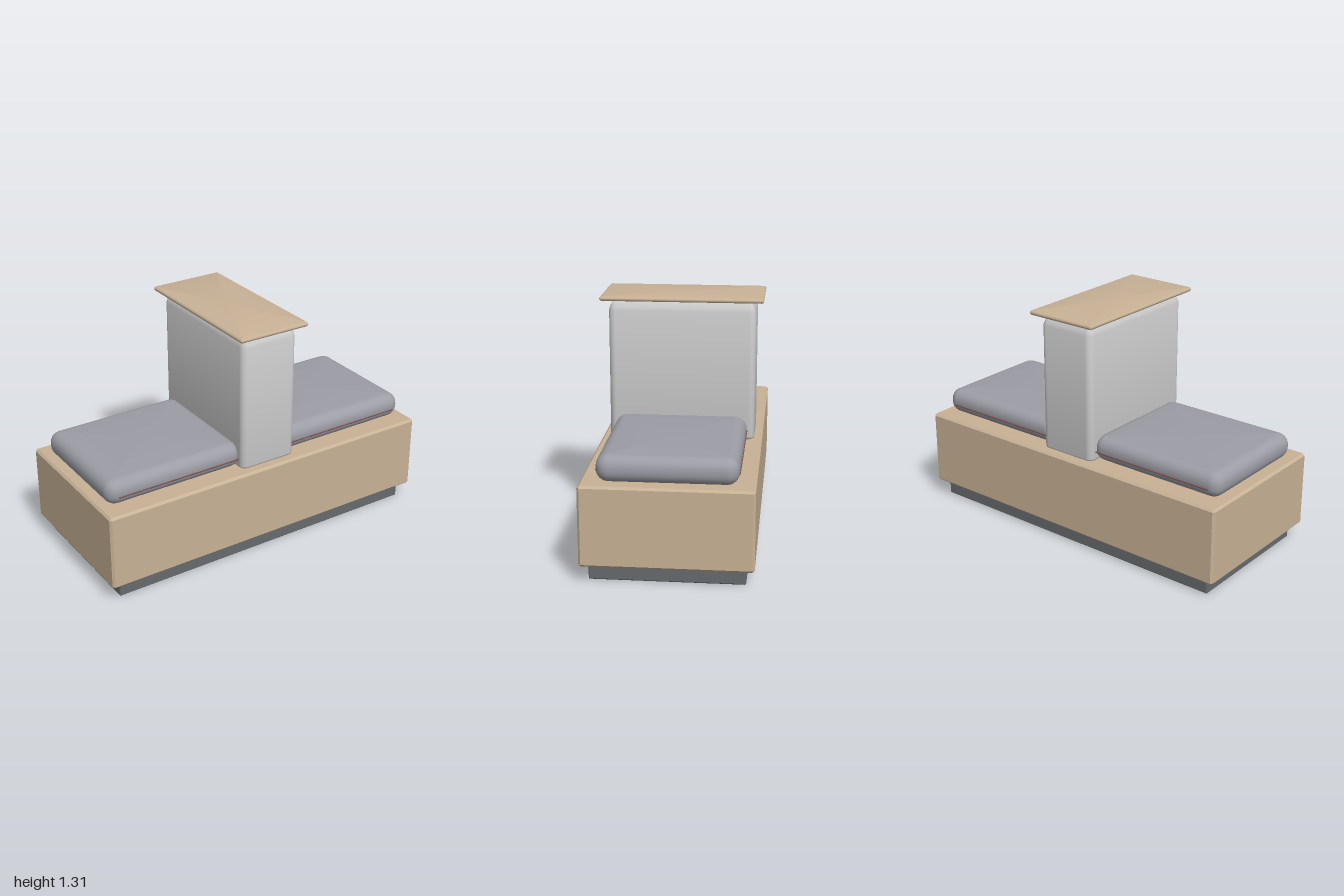
import * as THREE from 'three';

const TAN = 0xc8b296, DARK = 0x676b6d, CUSHION = 0x9c9da5, PIPING = 0x80504a, GREY = 0xcccccc;

// Stacks rounded-rectangle rings. profile: [inset, y] from bottom to top.
function loft({ halfX, halfZ, radius, segments, profile, flat = false }) {
  const pos = [], nor = [], idx = [];
  const ring = 4 * (segments + 1);
  const sideNormal = (k) => {
    if (k < 0) return [0, -1];
    if (k >= profile.length - 1) return [0, 1];
    const [i0, y0] = profile[k], [i1, y1] = profile[k + 1];
    const l = Math.hypot(y1 - y0, i1 - i0);
    return [(y1 - y0) / l, (i1 - i0) / l];
  };
  profile.forEach(([inset, y], k) => {
    const a = sideNormal(k - 1), b = sideNormal(k);
    const n = new THREE.Vector2(a[0] + b[0], a[1] + b[1]).normalize();
    const r = Math.max(radius - inset, 0.001);
    for (let c = 0; c < 4; c++) {
      const sx = c === 0 || c === 3 ? 1 : -1, sz = c < 2 ? 1 : -1;
      for (let s = 0; s <= segments; s++) {
        const t = (c + s / segments) * Math.PI / 2, ct = Math.cos(t), st = Math.sin(t);
        pos.push(sx * (halfX - inset - r) + r * ct, y, sz * (halfZ - inset - r) + r * st);
        nor.push(n.x * ct, n.y, n.x * st);
      }
    }
  });
  const rows = profile.length, bottom = rows * ring, top = bottom + 1;
  pos.push(0, profile[0][1], 0, 0, profile[rows - 1][1], 0);
  nor.push(0, -1, 0, 0, 1, 0);
  for (let j = 0; j < ring; j++) {
    const j1 = (j + 1) % ring;
    for (let k = 0; k < rows - 1; k++) {
      const a = k * ring + j, b = k * ring + j1;
      idx.push(a, a + ring, b, b, a + ring, b + ring);
    }
    idx.push(bottom, j, j1, top, (rows - 1) * ring + j1, (rows - 1) * ring + j);
  }
  const g = new THREE.BufferGeometry();
  g.setAttribute('position', new THREE.Float32BufferAttribute(pos, 3));
  g.setAttribute('normal', new THREE.Float32BufferAttribute(nor, 3));
  g.setIndex(idx);
  if (!flat) return g;
  const f = g.toNonIndexed();
  f.computeVertexNormals();
  return f;
}

// Profile with rounded lower and upper edges
function roundedProfile(y0, y1, r, steps) {
  const p = [];
  for (let end = 0; end < 2; end++) {
    for (let s = 0; s <= steps; s++) {
      const t = (s / steps) * Math.PI / 2;
      p.push(end === 0
        ? [r * (1 - Math.sin(t)), y0 + r * (1 - Math.cos(t))]
        : [r * (1 - Math.cos(t)), y1 - r * (1 - Math.sin(t))]);
    }
  }
  return p;
}

export function createModel() {
  const model = new THREE.Group();
  const add = (name, geometry, color, x = 0, y = 0, z = 0) => {
    const mesh = new THREE.Mesh(geometry, new THREE.MeshStandardMaterial({ color }));
    mesh.name = name;
    mesh.position.set(x, y, z);
    model.add(mesh);
    return mesh;
  };

  // Recessed plinth and chamfered bench body
  add('plinth', loft({ halfX: 0.943, halfZ: 0.4, radius: 0.006, segments: 1, flat: true,
    profile: roundedProfile(0, 0.089, 0.006, 1) }), DARK);
  add('benchBody', loft({ halfX: 1, halfZ: 0.443, radius: 0.012, segments: 1, flat: true,
    profile: roundedProfile(0.088, 0.518, 0.012, 1) }), TAN);

  // Central divider with tapered top edge
  add('divider', loft({ halfX: 0.17, halfZ: 0.4, radius: 0.036, segments: 6,
    profile: [[0.022, 0.516], [0.002, 0.526], [0, 0.535], [0, 1.232], [0.006, 1.25], [0.028, 1.292]] }), GREY);

  // Thin cap on the divider
  add('dividerCap', loft({ halfX: 0.212, halfZ: 0.443, radius: 0.012, segments: 3,
    profile: roundedProfile(1.29, 1.314, 0.0115, 3) }), TAN);

  // Seat cushions with piping along both long edges
  const cushion = loft({ halfX: 0.41, halfZ: 0.36, radius: 0.066, segments: 6,
    profile: roundedProfile(0.518, 0.658, 0.062, 6) });
  const piping = new THREE.CylinderGeometry(0.004, 0.004, 0.74, 8).rotateZ(Math.PI / 2);
  for (const [side, sx] of [['left', 1], ['right', -1]]) {
    add(`${side}Cushion`, cushion, CUSHION, sx * 0.55);
    add(`${side}FrontPiping`, piping, PIPING, sx * 0.53, 0.572, 0.359);
    add(`${side}BackPiping`, piping, PIPING, sx * 0.53, 0.572, -0.359);
  }
  return model;
}
